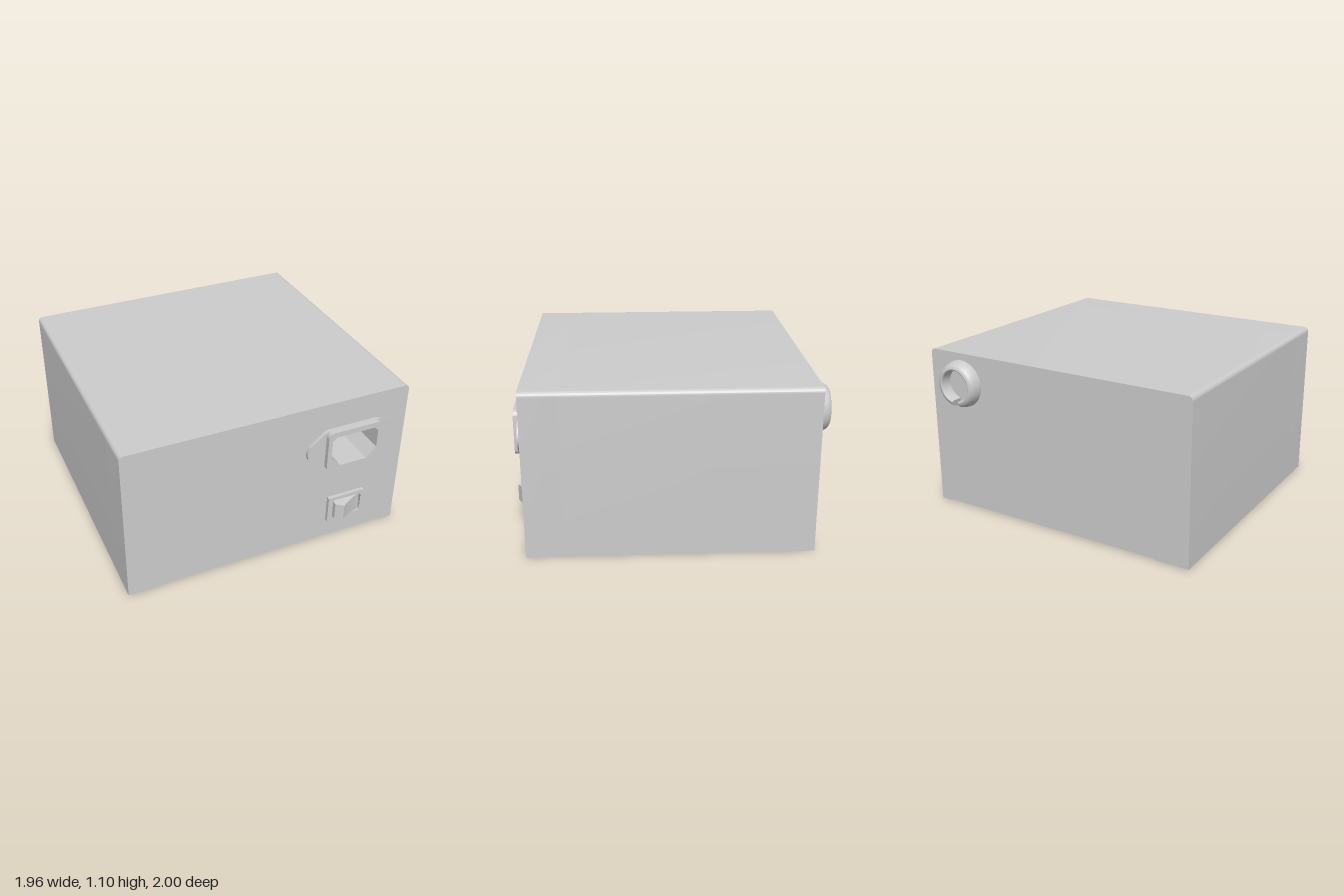
import * as THREE from 'three';
import { toCreasedNormals } from 'three/addons/utils/BufferGeometryUtils.js';

const material = new THREE.MeshStandardMaterial({ color: 0xcccccc });
const doubleSided = new THREE.MeshStandardMaterial({ color: 0xcccccc, side: THREE.DoubleSide });

function addMesh(parent, name, geometry, mat = material) {
  const mesh = new THREE.Mesh(toCreasedNormals(geometry, 0.6), mat);
  mesh.name = name;
  parent.add(mesh);
  return mesh;
}

// Extrude a front-facing outline between two depths.
function slab(shape, z0, z1) {
  return new THREE.ExtrudeGeometry(shape, { depth: z1 - z0, bevelEnabled: false, curveSegments: 8 })
    .translate(0, 0, z0);
}

const polygon = (points) => new THREE.Shape(points.map(([x, y]) => new THREE.Vector2(x, y)));

function roundedRect(x0, y0, x1, y1, r) {
  const s = new THREE.Shape();
  s.absarc(x1 - r, y0 + r, r, -Math.PI / 2, 0);
  s.absarc(x1 - r, y1 - r, r, 0, Math.PI / 2);
  s.absarc(x0 + r, y1 - r, r, Math.PI / 2, Math.PI);
  s.absarc(x0 + r, y0 + r, r, Math.PI, Math.PI * 1.5);
  s.closePath();
  return s;
}

// Housing section: rounded top edges and a shallow step under the base.
function housingOutline() {
  const s = new THREE.Shape();
  s.moveTo(-0.98, 0);
  s.lineTo(-0.75, 0);
  s.lineTo(-0.75, 0.008);
  s.lineTo(0.9, 0.008);
  s.lineTo(0.9, 0);
  s.lineTo(0.98, 0);
  s.absarc(0.95, 1.07, 0.03, 0, Math.PI / 2);
  s.absarc(-0.95, 1.07, 0.03, Math.PI / 2, Math.PI);
  s.closePath();
  return s;
}

// Socket opening with cut corners, larger at the bottom.
const socketOpening = () => polygon([
  [0.48, 0.642], [0.673, 0.642], [0.743, 0.715], [0.743, 0.845],
  [0.715, 0.872], [0.438, 0.872], [0.41, 0.845], [0.41, 0.715],
]);

function flangeOutline() {
  const s = new THREE.Shape();
  s.moveTo(0.41, 0.615);
  s.lineTo(0.745, 0.615);
  s.quadraticCurveTo(0.77, 0.617, 0.79, 0.632);
  s.lineTo(0.88, 0.705);
  s.quadraticCurveTo(0.923, 0.762, 0.88, 0.82);
  s.lineTo(0.79, 0.893);
  s.quadraticCurveTo(0.77, 0.908, 0.745, 0.91);
  s.lineTo(0.41, 0.91);
  s.quadraticCurveTo(0.385, 0.908, 0.365, 0.893);
  s.lineTo(0.272, 0.82);
  s.quadraticCurveTo(0.229, 0.762, 0.272, 0.705);
  s.lineTo(0.365, 0.632);
  s.quadraticCurveTo(0.385, 0.617, 0.41, 0.615);
  return s;
}

function withHole(shape, hole) {
  shape.holes.push(hole);
  return shape;
}

function createHousing() {
  const housing = new THREE.Group();
  housing.name = 'housing';
  addMesh(housing, 'housingBody', slab(housingOutline(), -0.92, 0.68));
  addMesh(housing, 'housingFront', slab(withHole(housingOutline(), socketOpening()), 0.68, 0.92));
  return housing;
}

function createSocket() {
  const socket = new THREE.Group();
  socket.name = 'powerSocket';
  addMesh(socket, 'socketFlange', slab(withHole(flangeOutline(), socketOpening()), 0.92, 0.943));
  const collar = roundedRect(0.38, 0.615, 0.775, 0.91, 0.04);
  addMesh(socket, 'socketCollar', slab(withHole(collar, socketOpening()), 0.92, 0.975));
  return socket;
}

function createSwitch() {
  const group = new THREE.Group();
  group.name = 'powerSwitch';
  const frame = polygon([[0.44, 0.148], [0.71, 0.148], [0.71, 0.345], [0.44, 0.345]]);
  addMesh(group, 'switchFrame', slab(withHole(frame, roundedRect(0.475, 0.172, 0.688, 0.32, 0.02)), 0.92, 0.945));

  // Rocker profile in x and depth, with a dished face.
  const profile = new THREE.Shape();
  profile.moveTo(0.48, 0.9);
  profile.lineTo(0.685, 0.9);
  profile.lineTo(0.685, 0.93);
  profile.quadraticCurveTo(0.6, 0.955, 0.53, 1.0);
  profile.lineTo(0.48, 0.968);
  profile.closePath();
  const rocker = new THREE.ExtrudeGeometry(profile, { depth: 0.14, bevelEnabled: false, curveSegments: 10 });
  rocker.translate(0, 0, -0.07).rotateX(Math.PI / 2).scale(1, 1, -1);
  // Turn the mirrored faces outward again and taper the sides towards the crest.
  const p = rocker.attributes.position;
  const v = new THREE.Vector3(), w = new THREE.Vector3();
  for (let i = 0; i < p.count; i += 3) {
    v.fromBufferAttribute(p, i + 1);
    w.fromBufferAttribute(p, i + 2);
    p.setXYZ(i + 1, w.x, w.y, w.z);
    p.setXYZ(i + 2, v.x, v.y, v.z);
  }
  for (let i = 0; i < p.count; i++) {
    const z = -p.getZ(i);
    const taper = 1 - 2.5 * Math.max(0, Math.abs(z) - 0.92);
    p.setXYZ(i, p.getX(i), 0.243 + p.getY(i) * taper, Math.abs(z));
  }
  rocker.computeVertexNormals();
  addMesh(group, 'rocker', rocker, doubleSided);
  return group;
}

// Domed cable ring with a slit at the bottom.
function createGrommet() {
  const grommet = new THREE.Group();
  grommet.name = 'cableGrommet';
  const section = [
    [0.16, 0], [0.157, 0.025], [0.149, 0.05], [0.14, 0.067], [0.128, 0.077],
    [0.115, 0.08], [0.108, 0.076], [0.105, 0.068], [0.105, 0],
  ].map(([r, h]) => new THREE.Vector2(r, h));
  const gap = 0.2;
  const ring = new THREE.LatheGeometry(section, 56, Math.PI + gap, 2 * (Math.PI - gap));
  addMesh(grommet, 'grommetRing', ring, doubleSided);
  for (const side of [-1, 1]) {
    const cap = new THREE.ShapeGeometry(new THREE.Shape(section));
    cap.rotateY(Math.PI / 2 + side * gap);
    addMesh(grommet, 'grommetSlitFace', cap, doubleSided);
  }
  grommet.rotation.x = -Math.PI / 2;
  grommet.position.set(0.728, 0.893, -0.92);
  return grommet;
}

export function createModel() {
  const model = new THREE.Group();
  model.name = 'powerSupply';
  model.add(createHousing(), createSocket(), createSwitch(), createGrommet());
  return model;
}
